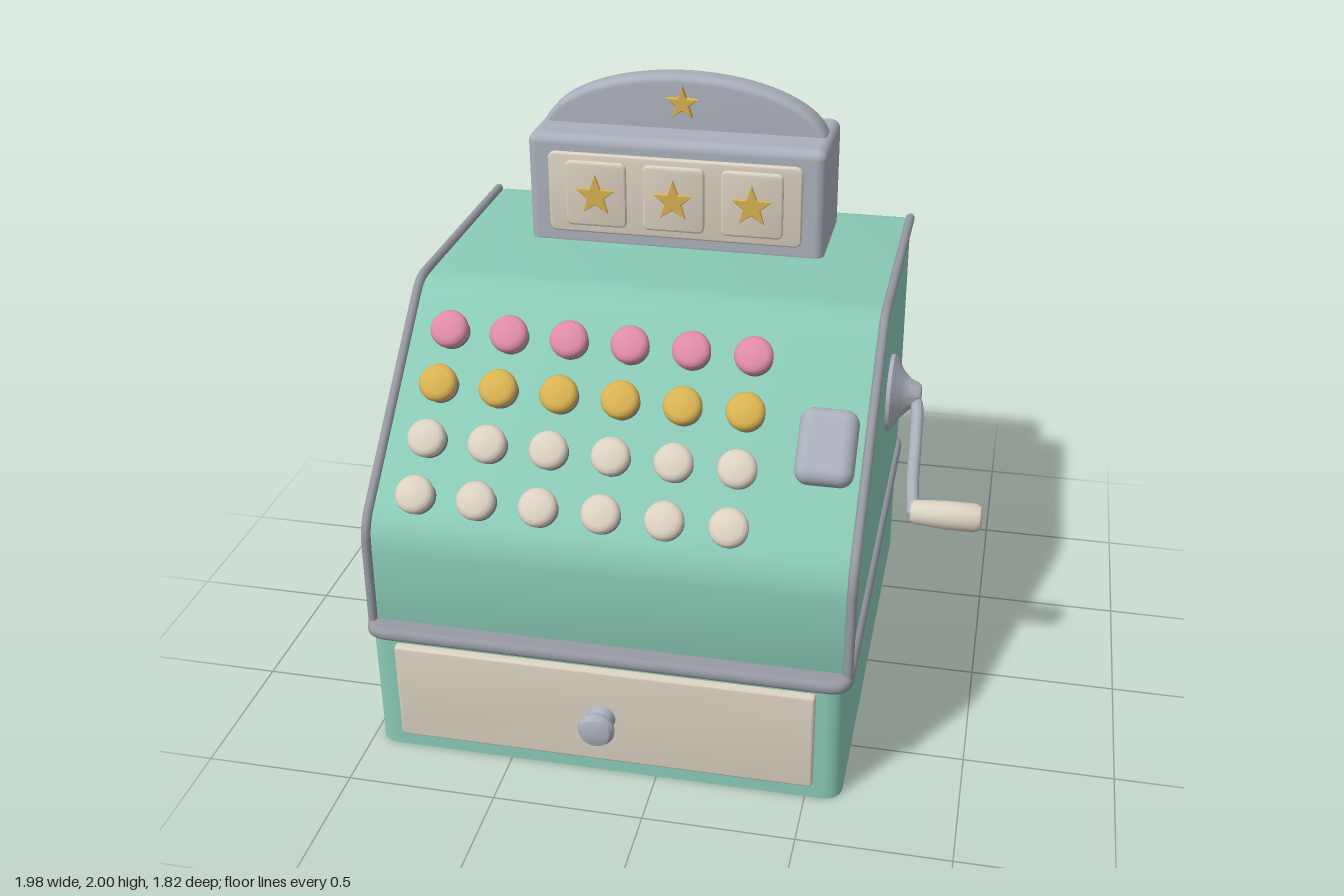
import * as THREE from 'three';
import { toCreasedNormals } from 'three/addons/utils/BufferGeometryUtils.js';
import { RoundedBoxGeometry } from 'three/addons/geometries/RoundedBoxGeometry.js';

const CX = -0.177; // centre line of the cabinet

const mat = (name, color) => {
  const m = new THREE.MeshStandardMaterial({ color });
  m.name = name;
  return m;
};

// Closed shape through [x, y, cornerRadius] points
function roundedShape(pts) {
  const s = new THREE.Shape();
  pts.forEach(([x, y, r], i) => {
    const p = new THREE.Vector2(x, y);
    const toward = (q) => new THREE.Vector2(q[0], q[1]).sub(p).setLength(r).add(p);
    const a = toward(pts[(i + pts.length - 1) % pts.length]);
    const b = toward(pts[(i + 1) % pts.length]);
    if (i) s.lineTo(a.x, a.y);
    else s.moveTo(a.x, a.y);
    s.quadraticCurveTo(x, y, b.x, b.y);
  });
  s.closePath();
  return s;
}

const roundedRect = (w, h, r) => roundedShape([
  [-w / 2, -h / 2, r], [w / 2, -h / 2, r], [w / 2, h / 2, r], [-w / 2, h / 2, r],
]);

// Extrusion from z = 0 to z = depth; the bevel stays inside the outline
function slab(shape, depth, bevel = 0, bevelSegments = 3) {
  const g = new THREE.ExtrudeGeometry(shape, {
    depth: depth - 2 * bevel, bevelEnabled: bevel > 0, bevelThickness: bevel,
    bevelSize: bevel, bevelOffset: -bevel, bevelSegments, curveSegments: 10,
  });
  g.translate(0, 0, bevel);
  return toCreasedNormals(g, 0.6);
}

function starShape(r) {
  const s = new THREE.Shape();
  for (let i = 0; i < 10; i++) {
    const a = Math.PI / 2 + (i * Math.PI) / 5;
    const k = i % 2 ? r * 0.42 : r;
    if (i) s.lineTo(k * Math.cos(a), k * Math.sin(a));
    else s.moveTo(k * Math.cos(a), k * Math.sin(a));
  }
  s.closePath();
  return s;
}

const lathe = (pts, n = 28) => toCreasedNormals(
  new THREE.LatheGeometry(pts.map(([r, y]) => new THREE.Vector2(r, y)), n), 0.6);

export function createModel() {
  const model = new THREE.Group();
  model.name = 'cashRegister';
  const green = mat('mint enamel', 0x8acab7);
  const silver = mat('silver', 0xaab0bb);
  const steel = mat('steel trim', 0x9698a2);
  const cream = mat('cream', 0xdbd1c0);
  const pink = mat('pink', 0xdf8ba6);
  const gold = mat('gold', 0xd8b252);

  const add = (name, geo, material, x = 0, y = 0, z = 0, parent = model) => {
    const m = new THREE.Mesh(geo, material);
    m.name = name;
    m.position.set(x, y, z);
    parent.add(m);
    return m;
  };

  // Drawer base and the band above it
  add('base', slab(roundedRect(1.59, 1.68, 0.07), 0.44), green, CX, 0, -0.05).rotation.x = -Math.PI / 2;
  add('band', slab(roundedRect(1.63, 1.71, 0.08), 0.045, 0.018), steel, CX, 0.427, -0.05).rotation.x = -Math.PI / 2;

  // Sloped cabinet, profile drawn as (z, y)
  const profile = roundedShape([
    [0.74, 0.43, 0.005], [0.725, 0.82, 0.09], [0.07, 1.42, 0.1], [-0.89, 1.42, 0.08], [-0.89, 0.43, 0.005],
  ]);
  const cabinet = slab(profile, 1.59, 0.02);
  cabinet.translate(0, 0, -0.795);
  add('cabinet', cabinet, green, CX).rotation.y = -Math.PI / 2;

  // Tube trim along both side edges
  const rail = new THREE.CurvePath();
  const v = (z, y) => new THREE.Vector3(0, y, z);
  const bend = (a, b, c) => rail.add(new THREE.QuadraticBezierCurve3(a, b, c));
  const line = (a, b) => rail.add(new THREE.LineCurve3(a, b));
  line(v(0.742, 0.46), v(0.732, 0.77));
  bend(v(0.732, 0.77), v(0.728, 0.82), v(0.69, 0.86));
  line(v(0.69, 0.86), v(0.105, 1.395));
  bend(v(0.105, 1.395), v(0.07, 1.425), v(0.02, 1.425));
  line(v(0.02, 1.425), v(-0.82, 1.425));
  for (const side of [-1, 1]) {
    const x = CX + side * 0.797;
    add('sideTrim', new THREE.TubeGeometry(rail, 90, 0.016, 10), steel, x);
    add('sideTrimEnd', new THREE.SphereGeometry(0.016, 10, 8), steel, x, 1.425, -0.82);
  }

  // Drawer front, lip and knob
  add('drawerFront', slab(roundedRect(1.405, 0.36, 0.012), 0.06, 0.01), cream, CX, 0.24, 0.757);
  add('drawerLip', new THREE.BoxGeometry(1.405, 0.012, 0.02), green, CX, 0.045, 0.785);
  add('drawerKnob', lathe([
    [0.05, 0], [0.048, 0.012], [0.036, 0.03], [0.036, 0.042], [0.06, 0.058],
    [0.062, 0.07], [0.05, 0.09], [0.03, 0.096], [0, 0.098],
  ]), silver, CX, 0.238, 0.812).rotation.x = Math.PI / 2;

  // Keys: each group stands square to the sloping face
  const tilt = Math.atan2(0.6, 0.655);
  const onSlope = (name, x, z) => {
    const g = new THREE.Group();
    g.name = name;
    g.position.set(x, 0.82 + (0.725 - z) * (0.6 / 0.655), z);
    g.rotation.x = Math.PI / 2 - tilt;
    model.add(g);
    return g;
  };
  const stem = lathe([[0.058, -0.02], [0.058, 0.022], [0.045, 0.034], [0.045, 0.045]], 24);
  const cap = lathe([
    [0, 0.032], [0.056, 0.032], [0.064, 0.04], [0.064, 0.056], [0.058, 0.066], [0.046, 0.073], [0, 0.075],
  ], 24);
  [pink, gold, cream, cream].forEach((color, row) => {
    for (let col = 0; col < 6; col++) {
      const key = onSlope('key', -0.815 + col * 0.2065, 0.21 + row * 0.143);
      add('keyStem', stem, steel, 0, 0, 0, key);
      add('keyCap', cap, color, 0, 0, 0, key);
    }
  });
  const bar = onSlope('totalKey', 0.49, 0.42);
  add('totalKeyCap', new RoundedBoxGeometry(0.19, 0.1, 0.25, 5, 0.045), silver, 0, 0.035, 0, bar);

  // Display housing with arched crest
  add('displayHousing', new RoundedBoxGeometry(1.065, 0.42, 0.4, 4, 0.035), silver, CX, 1.602, -0.57);
  const arch = new THREE.Shape();
  arch.moveTo(0.518, 0);
  arch.absellipse(0, 0, 0.518, 0.23, 0, Math.PI, false);
  arch.closePath();
  const crest = new THREE.ExtrudeGeometry(arch, {
    depth: 0.07, bevelEnabled: true, bevelThickness: 0.02, bevelSize: 0.02,
    bevelOffset: -0.02, bevelSegments: 3, curveSegments: 40,
  });
  add('crest', toCreasedNormals(crest, 0.6), silver, CX, 1.77, -0.61);

  // Reel panel, windows and stars
  add('reelPanel', slab(roundedRect(0.91, 0.295, 0.03), 0.03, 0.008), cream, CX, 1.607, -0.385);
  for (const i of [-1, 0, 1]) {
    add('reel', slab(roundedRect(0.22, 0.24, 0.025), 0.02, 0.008), cream, CX + i * 0.28, 1.61, -0.362);
    add('reelStar', slab(starShape(0.077), 0.015, 0.003, 1), gold, CX + i * 0.28, 1.607, -0.348);
  }
  add('crestStar', slab(starShape(0.06), 0.025, 0.003, 1), gold, CX, 1.908, -0.524);

  // Crank on the left side
  const crank = new THREE.Group();
  crank.name = 'crank';
  model.add(crank);
  add('crankHub', lathe([
    [0.138, 0], [0.138, 0.022], [0.125, 0.032], [0.085, 0.055], [0.055, 0.085], [0.046, 0.11], [0.036, 0.122], [0, 0.125],
  ], 36), silver, 0.61, 0.96, -0.295, crank).rotation.z = -Math.PI / 2;
  const armPath = new THREE.CatmullRomCurve3([
    [0.7, 0.965, -0.295], [0.722, 0.94, -0.255], [0.732, 0.86, -0.15], [0.738, 0.75, -0.03], [0.75, 0.68, 0.045],
  ].map((p) => new THREE.Vector3(...p)));
  add('crankArm', new THREE.TubeGeometry(armPath, 28, 0.022, 12), silver, 0, 0, 0, crank);
  add('crankArmEnd', new THREE.SphereGeometry(0.024, 14, 10), silver, 0.75, 0.68, 0.045, crank);
  add('crankHandle', lathe([
    [0, 0], [0.034, 0], [0.042, 0.012], [0.05, 0.12], [0.05, 0.222], [0.042, 0.24], [0.03, 0.246], [0, 0.246],
  ], 24), cream, 0.742, 0.68, 0.045, crank).rotation.z = -Math.PI / 2;

  return model;
}
